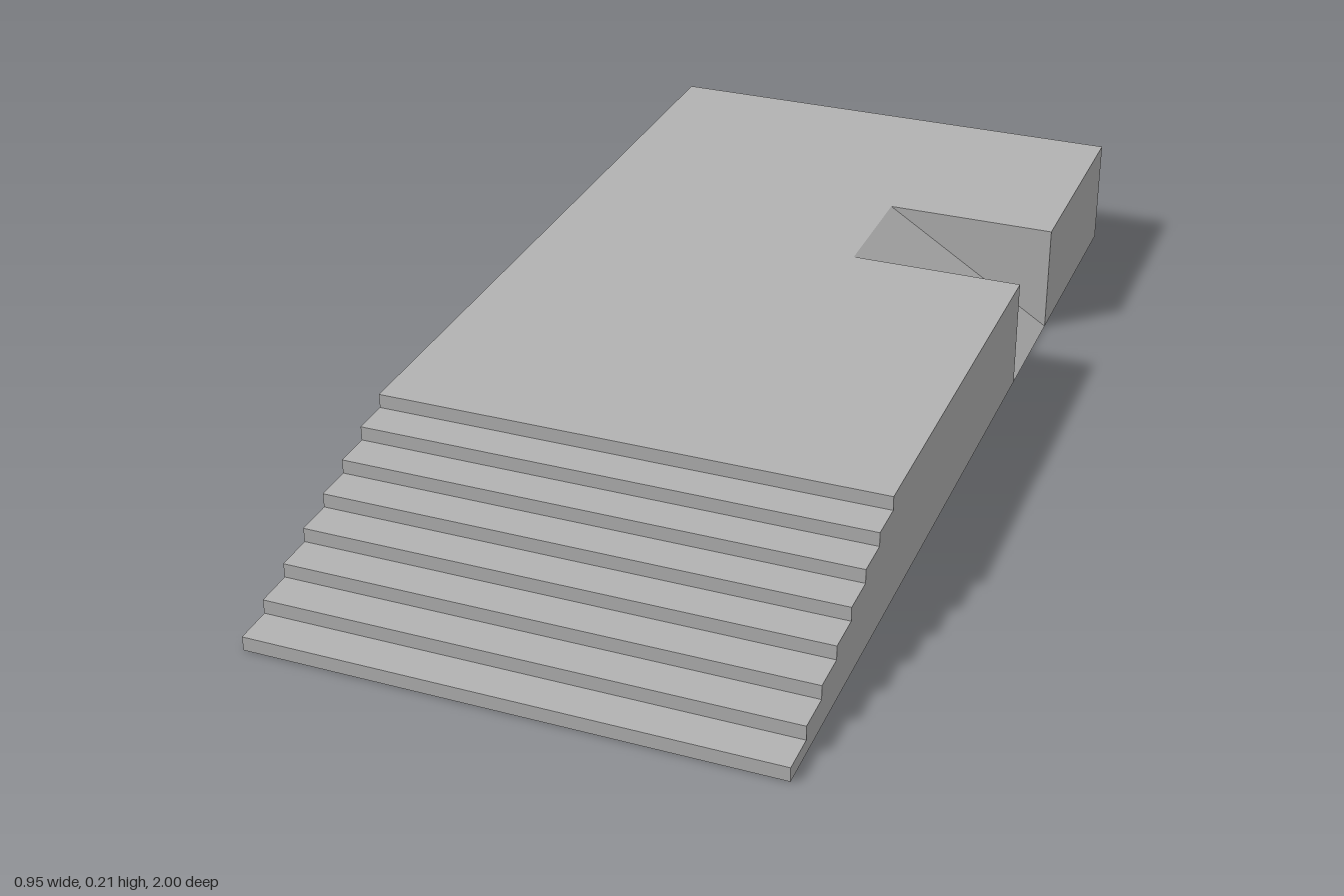
import * as THREE from 'three';

const HALF_W = 0.475, HEIGHT = 0.214;
const STEPS = 8, STAIR_TOP_Z = 0.5;
const RAMP_FRONT = -0.31, RAMP_BACK = -0.555, RAMP_TOP_X = 0.14;

function polygon(points) {
  return new THREE.Shape(points.map(([x, y]) => new THREE.Vector2(x, y)));
}

function extrude(points, depth) {
  return new THREE.ExtrudeGeometry(polygon(points), { depth, bevelEnabled: false });
}

export function createModel() {
  const group = new THREE.Group();
  group.name = 'steppedPlatform';
  const concrete = new THREE.MeshStandardMaterial({ color: 0xb2b2b2 });
  concrete.name = 'concreteGrey';

  const add = (name, geometry) => {
    const mesh = new THREE.Mesh(geometry, concrete);
    mesh.name = name;
    group.add(mesh);
  };

  // Front deck and staircase: a (z, y) profile extruded across the width
  const profile = [[RAMP_FRONT, 0], [1, 0]];
  const rise = HEIGHT / STEPS, tread = (1 - STAIR_TOP_Z) / (STEPS - 1);
  for (let i = 0; i < STEPS; i++) {
    const z = 1 - i * tread;
    if (i > 0) profile.push([z, i * rise]);
    profile.push([z, (i + 1) * rise]);
  }
  profile.push([RAMP_FRONT, HEIGHT]);
  add('frontDeckAndStairs',
    extrude(profile, 2 * HALF_W).rotateY(-Math.PI / 2).translate(HALF_W, 0, 0));

  // Middle strip: slopes down to the ground on the left side
  add('rampSection', extrude(
    [[-HALF_W, 0], [HALF_W, 0], [RAMP_TOP_X, HEIGHT], [-HALF_W, HEIGHT]],
    RAMP_FRONT - RAMP_BACK).translate(0, 0, RAMP_BACK));

  // Rear deck
  add('rearDeck', new THREE.BoxGeometry(2 * HALF_W, HEIGHT, 1 + RAMP_BACK)
    .translate(0, HEIGHT / 2, (RAMP_BACK - 1) / 2));

  return group;
}
